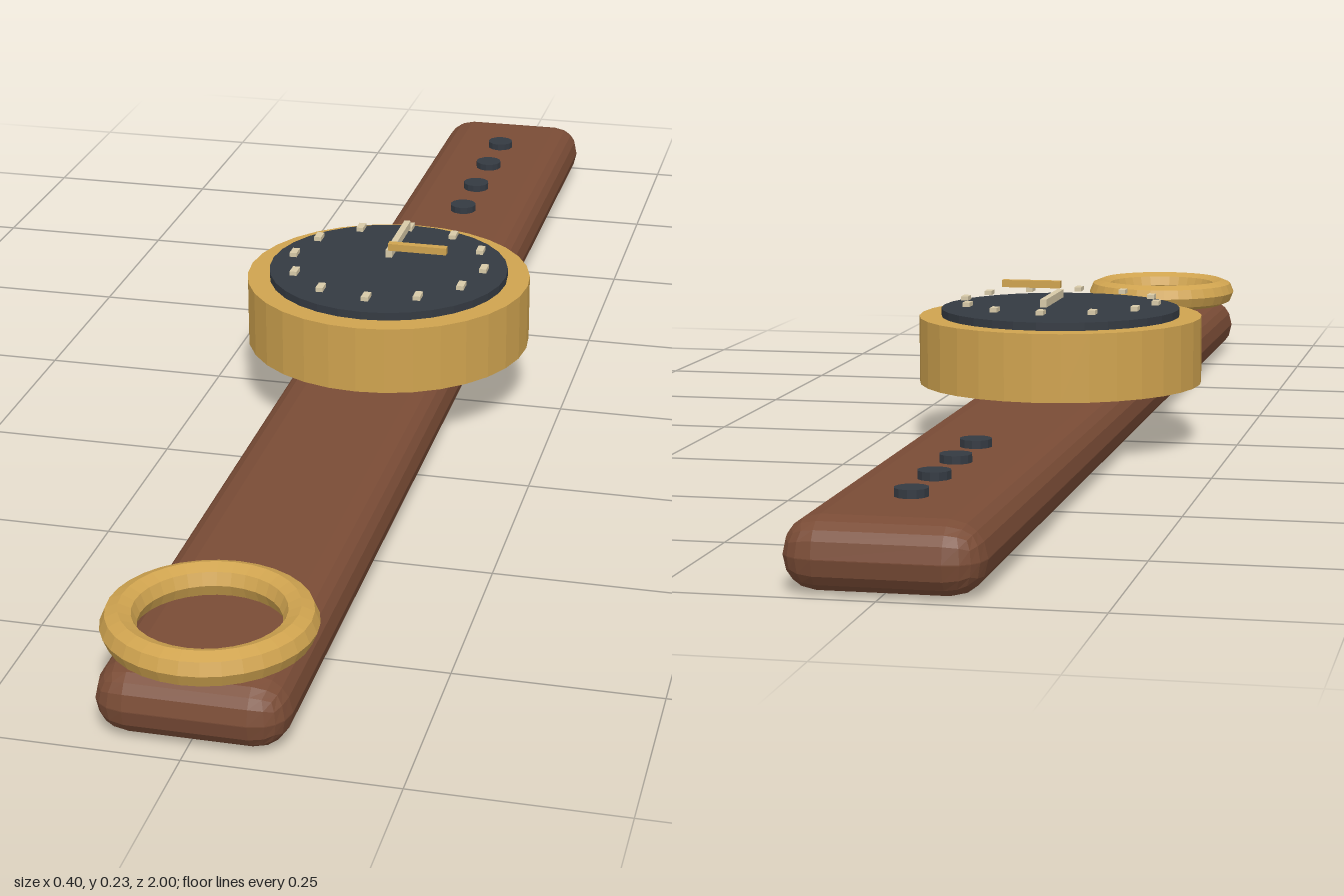
import * as THREE from 'three';
import { RoundedBoxGeometry } from 'three/addons/geometries/RoundedBoxGeometry.js';

export function createModel() {
  const model = new THREE.Group();
  model.name = 'wristwatch';

  const mat = (name, color) => {
    const m = new THREE.MeshStandardMaterial({ color, flatShading: true });
    m.name = name;
    return m;
  };
  const leather = mat('brown leather', 0x7a4c36);
  const gold = mat('gold', 0xcfa34f);
  const dark = mat('dark slate', 0x343a42);
  const cream = mat('cream', 0xd8caa8);

  const centreZ = -0.008; // middle of the dial

  const add = (name, geometry, material, x, y, z) => {
    const mesh = new THREE.Mesh(geometry, material);
    mesh.name = name;
    mesh.position.set(x, y, z);
    model.add(mesh);
    return mesh;
  };
  const disc = (name, radius, y0, y1, sides, material, z) =>
    add(name, new THREE.CylinderGeometry(radius, radius, y1 - y0, sides), material, 0, (y0 + y1) / 2, z);

  // Strap, one long rounded bar
  add('strap', new RoundedBoxGeometry(0.226, 0.084, 1.984, 2, 0.0415), leather, 0, 0.042, -0.008);

  // Case and dial
  disc('case', 0.198, 0.085, 0.178, 32, gold, centreZ);
  disc('dial', 0.167, 0.178, 0.189, 32, dark, centreZ);

  // Twelve hour markers, all pointing the same way
  const markerShape = new THREE.BoxGeometry(0.01, 0.006, 0.02);
  for (let i = 0; i < 12; i++) {
    const a = (i / 12) * Math.PI * 2;
    add('hourMarker', markerShape, cream, Math.sin(a) * 0.136, 0.199, centreZ - Math.cos(a) * 0.136);
  }

  // Hands
  add('minuteHand', new THREE.BoxGeometry(0.009, 0.011, 0.12), cream, 0, 0.209, centreZ - 0.06);
  add('hourHand', new THREE.BoxGeometry(0.083, 0.01, 0.011), gold, 0.0415, 0.221, centreZ);

  // Strap holes
  for (let i = 0; i < 4; i++) disc('strapHole', 0.02, 0.08, 0.094, 12, dark, -0.532 - i * 0.1045);

  // Buckle ring lying on the front end
  add('buckle', new THREE.TorusGeometry(0.103, 0.021, 8, 32), gold, 0, 0.106, 0.876).rotation.x = Math.PI / 2;

  return model;
}
